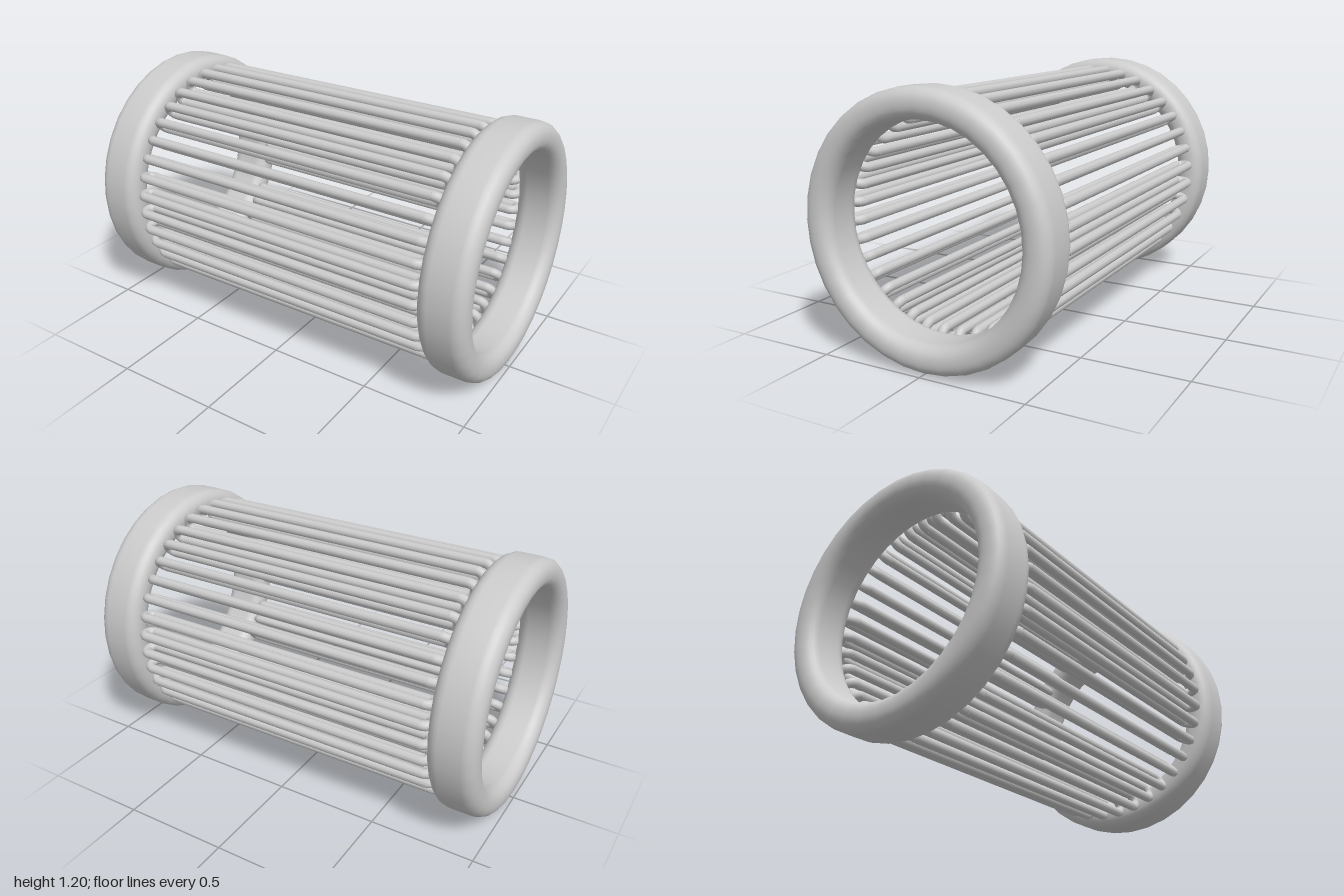
import * as THREE from 'three';
import { mergeGeometries } from 'three/addons/utils/BufferGeometryUtils.js';

const AXIS_Y = 0.6;       // height of the cage axis
const WIRES = 36;
const WIRE_R = 0.023;     // wire thickness (radius)
const BEND_R = 0.0345;    // radius of the end bends
const LOOP_R = 0.5125;    // distance of each loop's middle from the axis
const HALF_BAR = 0.735;   // half length of the straight bars

// Ring with a rounded-rectangle section, revolved around the x axis
function ringGeometry(inner, outer, width, corner) {
  const mid = (inner + outer) / 2;
  const dr = (outer - inner) / 2 - corner, dx = width / 2 - corner;
  const points = [new THREE.Vector2(outer, 0)];
  const corners = [[1, 1], [-1, 1], [-1, -1], [1, -1]];
  corners.forEach(([sr, sx], q) => {
    for (let i = 0; i <= 6; i++) {
      const a = (q + i / 6) * Math.PI / 2;
      points.push(new THREE.Vector2(
        mid + sr * dr + corner * Math.cos(a),
        sx * dx + corner * Math.sin(a)));
    }
  });
  points.push(new THREE.Vector2(outer, 0));
  return new THREE.LatheGeometry(points, 36).rotateZ(-Math.PI / 2);
}

// Closed wire loop: two straight bars joined by half-round bends
function wireGeometry() {
  const parts = [];
  for (const s of [1, -1]) {
    parts.push(new THREE.CylinderGeometry(WIRE_R, WIRE_R, 2 * HALF_BAR, 10, 1, true)
      .rotateZ(Math.PI / 2).translate(0, LOOP_R + s * BEND_R, 0));
    parts.push(new THREE.TorusGeometry(BEND_R, WIRE_R, 10, 10, Math.PI)
      .rotateZ(-s * Math.PI / 2).translate(s * HALF_BAR, LOOP_R, 0));
  }
  return mergeGeometries(parts);
}

export function createModel() {
  const model = new THREE.Group();
  model.name = 'wireCage';
  const material = new THREE.MeshStandardMaterial({ color: 0xcccccc });

  // End rings
  const ring = ringGeometry(0.466, 0.6, 0.226, 0.06);
  for (const [side, name] of [[1, 'leftEndRing'], [-1, 'rightEndRing']]) {
    const mesh = new THREE.Mesh(ring, material);
    mesh.name = name;
    mesh.position.set(side * 0.887, AXIS_Y, 0);
    model.add(mesh);
  }

  // Wire loops spaced evenly around the axis
  const wires = new THREE.Group();
  wires.name = 'wireLoops';
  wires.position.y = AXIS_Y;
  const wire = wireGeometry();
  for (let i = 0; i < WIRES; i++) {
    const mesh = new THREE.Mesh(wire, material);
    mesh.name = 'wireLoop' + (i + 1);
    mesh.rotation.x = (i + 0.5) / WIRES * Math.PI * 2;
    wires.add(mesh);
  }
  model.add(wires);
  return model;
}
